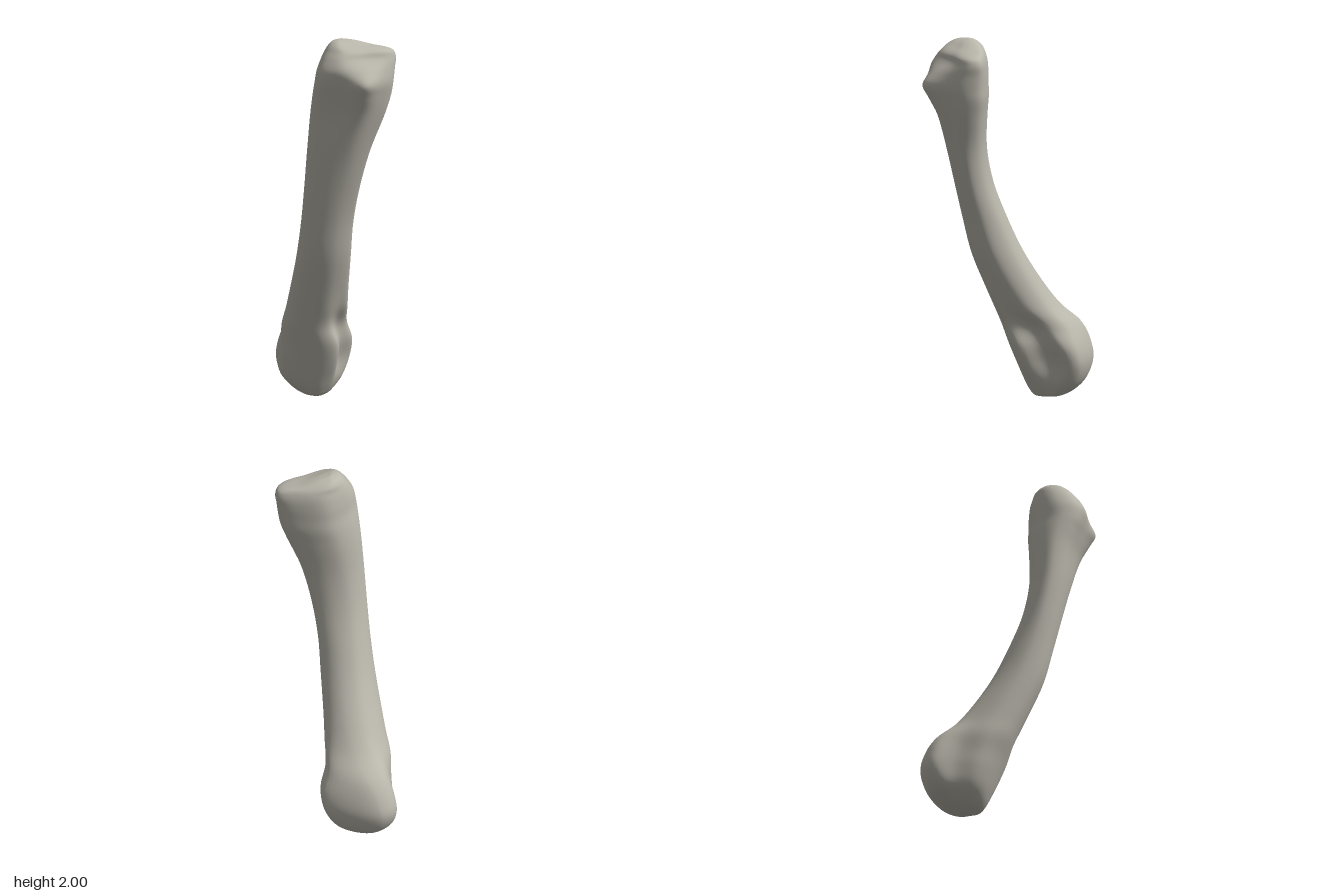
import * as THREE from 'three';
import { mergeVertices } from 'three/addons/utils/BufferGeometryUtils.js';

// Cross-section outlines in a -1..1 box, from +x round through +z
const PROFILES = [
  // rounded lower tip
  [[1, -.4], [.9, .1], [.78, .65], [.4, 1], [-.25, .95], [-.7, .6], [-.92, 0], [-1, -.5], [-.58, -1], [.7, -.82]],
  // lower knuckle, with a hollow on either side
  [[1, -.5], [.74, .08], [.82, .72], [.45, 1], [-.25, .95], [-.68, .6], [-.8, 0], [-1, -.6], [-.6, -1], [.85, -.8]],
  // shaft
  [[1, -.05], [.85, .42], [.45, .85], [-.1, 1], [-.65, .85], [-1, .3], [-.9, -.35], [-.5, -.88], [.12, -1], [.7, -.72]],
  // upper head, with a forward point
  [[1, -.35], [.82, .25], [.45, 1], [-.15, .82], [-.78, .66], [-1, .2], [-.85, -.4], [-.4, -.9], [.25, -1], [.85, -.85]],
  // crown, cut back by the joint facet
  [[1, -.5], [.82, -.05], [.35, .4], [-.35, 1], [-.83, .74], [-1, .15], [-.85, -.4], [-.4, -.9], [.25, -1], [.88, -.9]],
];

// height, min x, max x, min z, max z, profile blend
const SECTIONS = [
  [0, -.12, -.12, -.21, -.21, 0],
  [.008, -.19, -.075, -.28, -.13, 0],
  [.04, -.265, -.04, -.35, -.1, 0],
  [.1, -.335, 0, -.405, -.07, .3],
  [.2, -.365, .035, -.435, -.03, 1],
  [.3, -.345, .053, -.42, .01, 1.1],
  [.4, -.3, .035, -.375, .05, 1.4],
  [.5, -.268, .055, -.275, .09, 1.75],
  [.6, -.24, .07, -.2, .13, 1.9],
  [.8, -.19, .1, -.08, .205, 2],
  [1, -.155, .125, .01, .25, 2],
  [1.2, -.13, .17, .08, .29, 2],
  [1.4, -.11, .23, .11, .325, 2.2],
  [1.6, -.09, .31, .1, .365, 2.6],
  [1.7, -.075, .34, .09, .41, 2.9],
  [1.77, -.062, .352, .09, .44, 3],
  [1.84, -.05, .357, .09, .412, 3.5],
  [1.9, -.03, .36, .095, .383, 4],
  [1.935, -.015, .345, .105, .355, 4],
  [1.965, .003, .225, .128, .322, 4],
  [1.988, .025, .14, .165, .28, 4],
  [2, .07, .07, .21, .21, 4],
];

const AROUND = 60;
const STEPS = 5;

// Smooth closed ring for one section, fitted to its width and depth
function sectionRing([y, x0, x1, z0, z1, blend]) {
  const low = Math.min(Math.floor(blend), PROFILES.length - 2);
  const points = PROFILES[low].map(([u, v], i) => new THREE.Vector3(u, y, v)
    .lerp(new THREE.Vector3(PROFILES[low + 1][i][0], y, PROFILES[low + 1][i][1]), blend - low));
  const ring = new THREE.CatmullRomCurve3(points, true).getPoints(AROUND).slice(0, AROUND);
  const { min, max } = new THREE.Box3().setFromPoints(ring);
  return ring.map((p) => new THREE.Vector3(
    THREE.MathUtils.mapLinear(p.x, min.x, max.x, x0, x1), y,
    THREE.MathUtils.mapLinear(p.z, min.z, max.z, z0, z1)));
}

// Skin the rings with smooth curves running up the bone
function loft(sections) {
  const rings = sections.map(sectionRing);
  const rows = (sections.length - 1) * STEPS;
  const positions = [], index = [];
  for (let c = 0; c < AROUND; c++) {
    const column = new THREE.CatmullRomCurve3(rings.map((ring) => ring[c]));
    for (let r = 0; r <= rows; r++) positions.push(...column.getPoint(r / rows).toArray());
  }
  for (let c = 0; c < AROUND; c++) {
    for (let r = 0; r < rows; r++) {
      const a = c * (rows + 1) + r;
      const b = ((c + 1) % AROUND) * (rows + 1) + r;
      if (r < rows - 1) index.push(a, a + 1, b + 1);
      if (r > 0) index.push(a, b + 1, b);
    }
  }
  const geometry = new THREE.BufferGeometry();
  geometry.setAttribute('position', new THREE.Float32BufferAttribute(positions, 3));
  geometry.setIndex(index);
  const merged = mergeVertices(geometry, 1e-5);
  merged.computeVertexNormals();
  return merged;
}

export function createModel() {
  const group = new THREE.Group();
  group.name = 'longBone';
  const material = new THREE.MeshStandardMaterial({ color: 0xb9b6ab });
  material.name = 'bone grey';
  const bone = new THREE.Mesh(loft(SECTIONS), material);
  bone.name = 'bone';
  group.add(bone);
  return group;
}
